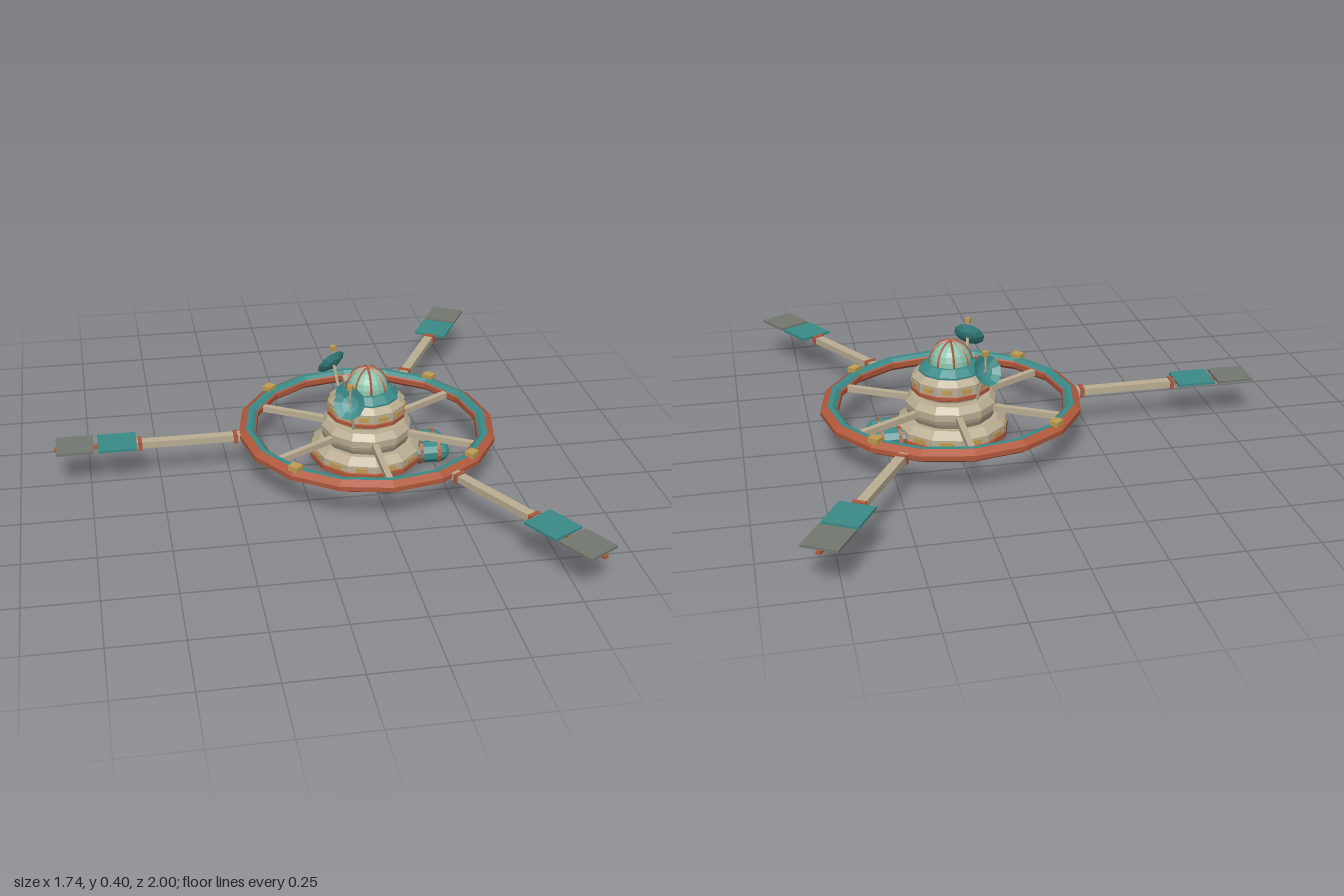
import * as THREE from 'three';

const mat = (name, color, side = THREE.FrontSide) =>
  Object.assign(new THREE.MeshStandardMaterial({ color, flatShading: true, side }), { name });

export function createModel() {
  const tan = mat('hullTan', 0xbaad92), red = mat('trimRust', 0xb0583c), gold = mat('windowGold', 0xc09c50);
  const teal = mat('panelTeal', 0x3a8a87, THREE.DoubleSide);
  const mint = mat('domeMint', 0x88bfa8), gray = mat('panelGray', 0x72786f);

  const root = new THREE.Group();
  root.name = 'spaceStation';
  const station = new THREE.Group();
  station.name = 'station';
  station.position.x = 0.254;
  root.add(station);

  const add = (parent, name, geo, m, x = 0, y = 0, z = 0) => {
    const mesh = new THREE.Mesh(geo, m);
    mesh.name = name;
    mesh.position.set(x, y, z);
    parent.add(mesh);
    return mesh;
  };
  const box = (parent, name, m, size, x, y, z = 0) => add(parent, name, new THREE.BoxGeometry(...size), m, x, y, z);
  const lathe = (name, m, sides, pts, parent = station) =>
    add(parent, name, new THREE.LatheGeometry(pts.map(p => new THREE.Vector2(...p)), sides), m);
  // Group whose local +x points outward at the given angle
  const radial = (name, deg) => {
    const g = new THREE.Group();
    g.name = name;
    g.rotation.y = -deg * Math.PI / 180;
    station.add(g);
    return g;
  };

  // Hub: stacked twelve-sided decks
  lathe('lowerDeck', tan, 12, [[0, 0.023], [0.175, 0.023], [0.2, 0.04], [0.2, 0.083], [0.17, 0.107],
    [0.15, 0.107], [0.16, 0.125], [0.165, 0.14], [0.165, 0.165], [0.145, 0.188], [0.115, 0.188], [0.115, 0.2]]);
  lathe('upperDeck', tan, 12, [[0.11, 0.198], [0.125, 0.198], [0.14, 0.21], [0.14, 0.258],
    [0.118, 0.278], [0, 0.278]]);
  lathe('lowerTrim', red, 12, [[0.2, 0.036], [0.205, 0.038], [0.205, 0.055], [0.2, 0.057]]);
  lathe('upperTrim', red, 12, [[0.14, 0.207], [0.144, 0.209], [0.144, 0.222], [0.14, 0.224]]);
  lathe('domeCollar', teal, 12, [[0.115, 0.276], [0.115, 0.284], [0.088, 0.306], [0.07, 0.306]]);

  // Windows around both decks, one per flat side
  for (let i = 0; i < 12; i++) {
    const g = radial('windows', i * 30 + 15);
    box(g, 'lowerWindow', gold, [0.008, 0.016, 0.045], 0.194, 0.068);
    box(g, 'upperWindow', gold, [0.008, 0.016, 0.034], 0.136, 0.24);
  }

  // Glass dome with ribs
  const dome = new THREE.Group();
  dome.name = 'observationDome';
  dome.position.y = 0.302;
  dome.scale.y = 1.06;
  station.add(dome);
  add(dome, 'domeGlass', new THREE.SphereGeometry(0.076, 16, 6, 0, Math.PI * 2, 0, Math.PI / 2), mint);
  for (let i = 0; i < 4; i++) {
    add(dome, 'domeRib', new THREE.TorusGeometry(0.076, 0.004, 4, 16, Math.PI), red).rotation.y = i * Math.PI / 4;
  }

  // Habitat ring, with a teal strip along its inner top
  lathe('ringHull', red, 16, [[0.406, 0.137], [0.424, 0.122], [0.442, 0.122], [0.468, 0.138], [0.468, 0.155],
    [0.442, 0.17]]);
  lathe('ringStrip', teal, 16, [[0.442, 0.17], [0.424, 0.17], [0.411, 0.16]]);
  lathe('ringInnerWall', red, 16, [[0.411, 0.16], [0.406, 0.156], [0.406, 0.137]]);
  for (let i = 0; i < 4; i++) {
    box(radial('ringHatch', 45 + i * 90), 'hatch', gold, [0.034, 0.02, 0.04], 0.44, 0.174);
  }
  for (let i = 0; i < 6; i++) {
    box(radial('spokes', 30 + i * 60), 'spoke', tan, [0.28, 0.022, 0.022], 0.28, 0.147);
  }

  // Three arms with paired panels
  for (const deg of [60, 180, 300]) {
    const arm = radial('panelArm', deg);
    box(arm, 'armBeam', tan, [0.38, 0.024, 0.034], 0.645, 0.145);
    for (const x of [0.481, 0.823]) box(arm, 'armCollar', red, [0.014, 0.034, 0.045], x, 0.145);
    box(arm, 'panelSpine', red, [0.3, 0.011, 0.016], 0.977, 0.146);
    box(arm, 'innerPanel', teal, [0.137, 0.009, 0.125], 0.904, 0.156);
    box(arm, 'outerPanel', gray, [0.132, 0.009, 0.125], 1.053, 0.156);
  }

  // Twin fuel tanks
  for (const z of [-0.043, 0.043]) {
    const tank = add(station, 'fuelTank', new THREE.CapsuleGeometry(0.04, 0.115, 3, 10), teal, 0.208, 0.043, z);
    tank.rotation.z = Math.PI / 2;
    for (const y of [-0.052, 0.012]) {
      add(tank, 'tankBand', new THREE.CylinderGeometry(0.0425, 0.0425, 0.012, 10), red, 0, y, 0);
    }
  }

  // Two dish antennas on slanted masts
  for (const deg of [120, 240]) {
    const g = radial('antenna', deg);
    const mast = add(g, 'mast', new THREE.CylinderGeometry(0.006, 0.006, 0.125, 6), tan, 0.163, 0.265);
    mast.rotation.z = -0.33;
    const dish = new THREE.Group();
    dish.name = 'dish';
    dish.position.set(0.183, 0.322, 0);
    dish.rotation.z = -Math.PI / 3;
    g.add(dish);
    lathe('dishBowl', teal, 10, [[0, 0], [0.03, 0.005], [0.058, 0.02]], dish);
    const feed = add(g, 'feedRod', new THREE.CylinderGeometry(0.004, 0.004, 0.07, 5), tan, 0.19, 0.36);
    box(feed, 'feedHorn', gold, [0.018, 0.018, 0.018], 0, 0.03);
  }
  return root;
}
